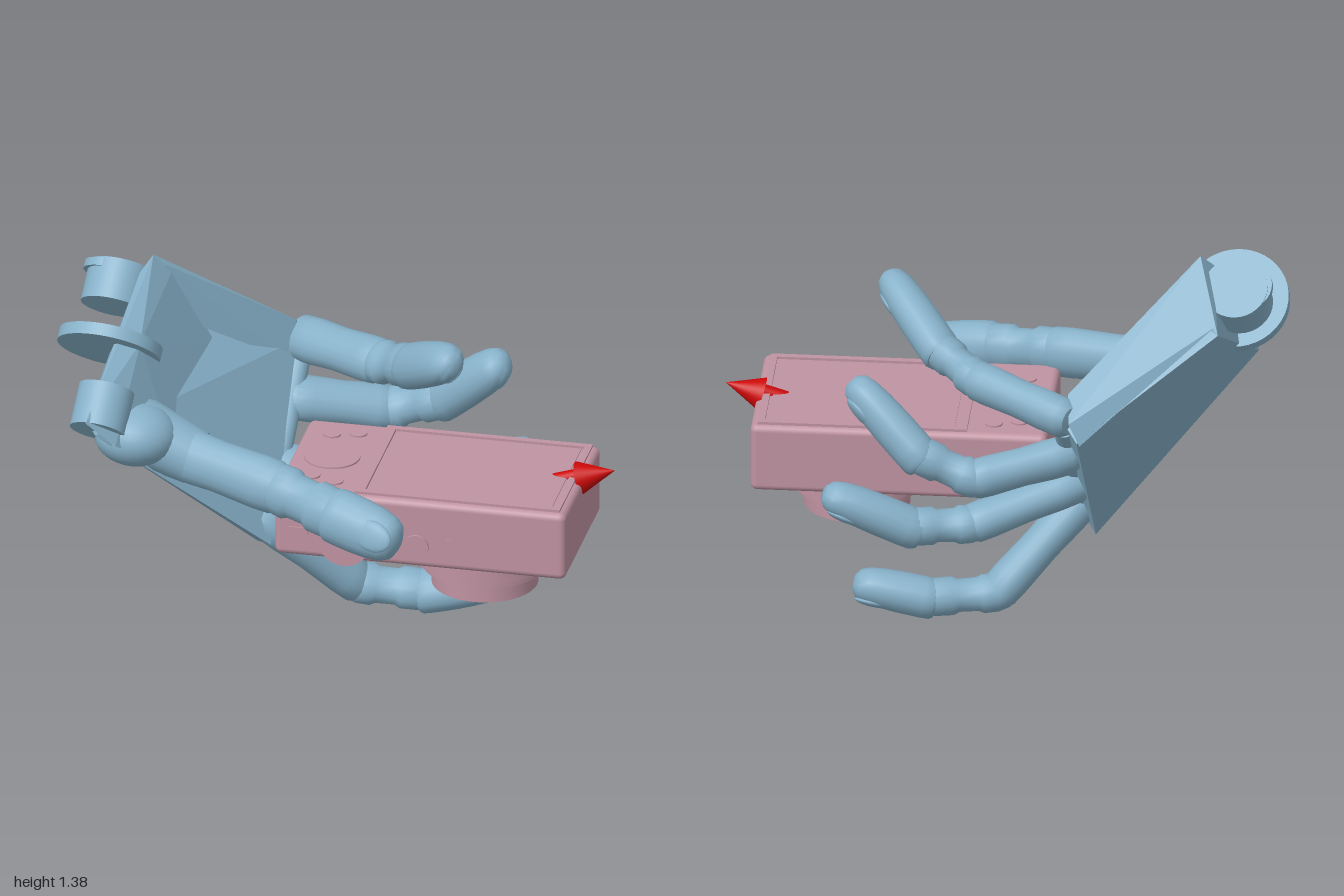
import * as THREE from 'three';
import { RoundedBoxGeometry } from 'three/addons/geometries/RoundedBoxGeometry.js';
import { ConvexGeometry } from 'three/addons/geometries/ConvexGeometry.js';
import { toCreasedNormals } from 'three/addons/utils/BufferGeometryUtils.js';

const V = (p) => new THREE.Vector3(...p);
const UP = new THREE.Vector3(0, 1, 0);
const handMat = new THREE.MeshStandardMaterial({ color: 0x87b1c9 });
const cameraMat = new THREE.MeshStandardMaterial({ color: 0xbf93a1 });
const arrowMat = new THREE.MeshStandardMaterial({ color: 0xcc0808 });

function add(parent, name, geometry, material, position = [0, 0, 0]) {
  const mesh = new THREE.Mesh(geometry, material);
  mesh.name = name;
  mesh.position.set(...position);
  parent.add(mesh);
  return mesh;
}

// Cylinder centred on a point, lying along an axis
function disc(parent, name, center, axis, radius, length, material, segments = 32, top = radius) {
  const mesh = add(parent, name, new THREE.CylinderGeometry(top, radius, length, segments), material, center);
  mesh.quaternion.setFromUnitVectors(UP, V(axis).normalize());
  return mesh;
}

// Turn a mesh so its y follows dir and its z faces the back of the finger
function orient(mesh, dir, dorsal) {
  const out = dorsal.clone().addScaledVector(dir, -dorsal.dot(dir)).normalize();
  mesh.quaternion.setFromRotationMatrix(new THREE.Matrix4().makeBasis(dir.clone().cross(out), dir, out));
  return out;
}

// One closed, slightly flattened finger segment: profile is [radius factor, fraction of length]
function segment(parent, name, from, to, radius, profile, dorsal) {
  const dir = to.clone().sub(from);
  const length = dir.length();
  const points = profile.map(([r, t]) => new THREE.Vector2(r * radius, t * length));
  const geometry = toCreasedNormals(new THREE.LatheGeometry(points, 18), 0.7);
  const mesh = add(parent, name, geometry, handMat, from.toArray());
  orient(mesh, dir.normalize(), dorsal);
  mesh.scale.set(1.07, 1, 0.9);
}

const PROXIMAL = [[0, -0.1], [0.7, -0.08], [0.98, 0], [1, 0.2], [0.94, 0.5], [1, 0.85], [0.98, 0.98], [0.7, 1.08], [0, 1.1]];
const MIDDLE = [[0, -0.2], [0.75, -0.17], [0.95, 0], [0.98, 0.2], [0.85, 0.28], [0.83, 0.55], [0.97, 0.63], [0.95, 1], [0.7, 1.12], [0, 1.15]];
const DISTAL = [[0, -0.14], [0.93, -0.13], [1.04, -0.08], [1.06, 0.05], [1.05, 0.35], [1, 0.62], [0.89, 0.82], [0.72, 0.93], [0.4, 0.99], [0, 1]];

function finger(parent, name, path, radius, dorsal) {
  const group = new THREE.Group();
  group.name = name;
  const p = path.map(V);
  const dir = p[3].clone().sub(p[2]).normalize();
  const back = dorsal ? V(dorsal) : p[1].clone().sub(p[0]).normalize().sub(dir);
  segment(group, 'proximalSegment', p[0], p[1], radius, PROXIMAL, back);
  segment(group, 'middleSegment', p[1], p[2], radius * 0.98, MIDDLE, back);
  segment(group, 'fingertip', p[2], p[3], radius * 0.97, DISTAL, back);
  // Nail plate on the back of the tip
  const nail = add(group, 'nail', new THREE.SphereGeometry(1, 16, 10), handMat);
  const out = orient(nail, dir, back);
  nail.position.copy(p[2]).lerp(p[3], 0.68).addScaledVector(out, radius * 0.7);
  nail.scale.set(radius * 0.6, radius * 0.85, radius * 0.2);
  parent.add(group);
}

function buildHand() {
  const hand = new THREE.Group();
  hand.name = 'hand';
  const hull = (name, pts) => add(hand, name, new ConvexGeometry(pts.map(V)), handMat);

  // Palm: plate, thick wrist block and bar on the index side
  hull('palmPlate', [
    [-0.78, 1.18, -0.34], [-0.30, 0.86, -0.60], [-0.33, 0.285, -0.15], [-0.88, 0.865, 0.2],
    [-0.68, 1.22, -0.27], [-0.24, 0.92, -0.53], [-0.25, 0.34, -0.01], [-0.79, 0.92, 0.43]]);
  hull('wristBlock', [
    [-0.70, 1.385, -0.12], [-0.78, 1.18, -0.34], [-0.88, 0.865, 0.2], [-0.82, 0.98, 0.46],
    [-0.74, 1.33, -0.08], [-0.72, 0.88, 0.42], [-0.64, 1.31, -0.16], [-0.55, 0.72, 0.18],
    [-0.50, 1.0, -0.24], [-0.69, 1.16, 0.14]]);
  hull('indexSideBar', [
    [-0.70, 1.385, -0.12], [-0.66, 1.34, -0.14], [-0.77, 1.21, -0.33], [-0.70, 1.2, -0.07],
    [-0.26, 1.0, -0.49], [-0.27, 0.93, -0.59], [-0.31, 0.85, -0.6], [-0.29, 0.88, -0.42]]);

  // Low thumb mound flowing into the thumb
  const mound = add(hand, 'thumbMound', new THREE.SphereGeometry(1, 24, 16), handMat, [-0.68, 0.86, 0.26]);
  mound.scale.set(0.15, 0.11, 0.14);
  disc(hand, 'thumbBase', [-0.58, 0.815, 0.215], [0.9, -0.35, 0.1], 0.12, 0.24, handMat, 24, 0.1);

  // Wrist hinge: large thin disc between two rounded lugs
  const axis = [-0.07, -0.74, 0.67];
  disc(hand, 'wristDisc', [-0.813, 1.115, 0.085], axis, 0.187, 0.045, handMat, 40);
  disc(hand, 'wristEndDisc', [-0.865, 1.29, -0.16], axis, 0.095, 0.03, handMat);
  disc(hand, 'wristLug', [-0.835, 1.24, -0.13], axis, 0.115, 0.15, handMat);
  disc(hand, 'wristLug', [-0.79, 0.97, 0.32], axis, 0.1, 0.16, handMat);

  // Four fingers, from the knuckles to the tips
  const fingers = {
    indexFinger: [[-0.25, 0.92, -0.52], [0.08, 0.955, -0.31], [0.23, 1.015, -0.18], [0.43, 1.17, 0.08]],
    middleFinger: [[-0.26, 0.73, -0.42], [0.07, 0.67, -0.53], [0.28, 0.75, -0.50], [0.52, 0.97, -0.38]],
    ringFinger: [[-0.27, 0.54, -0.26], [0.09, 0.435, -0.41], [0.31, 0.435, -0.45], [0.61, 0.58, -0.495]],
    littleFinger: [[-0.29, 0.41, -0.09], [0.01, 0.1, -0.27], [0.26, 0.082, -0.295], [0.52, 0.14, -0.31]],
  };
  for (const [name, path] of Object.entries(fingers)) finger(hand, name, path, 0.081);

  // Hinge rod joining the knuckles along the palm edge
  disc(hand, 'knuckleRod', [-0.265, 0.65, -0.32], [-0.04, -0.54, 0.45], 0.04, 0.6, handMat, 16);

  // Thumb
  finger(hand, 'thumb', [[-0.6, 0.795, 0.2], [-0.14, 0.75, 0.365], [0.1, 0.71, 0.465], [0.335, 0.665, 0.545]], 0.092, [0, 0.3, 1]);
  return hand;
}

function rectPath(Type, x0, x1, z0, z1) {
  const path = new Type();
  path.moveTo(x0, -z1).lineTo(x1, -z1).lineTo(x1, -z0).lineTo(x0, -z0).closePath();
  return path;
}

function buildCamera() {
  const camera = new THREE.Group();
  camera.name = 'compactCamera';
  add(camera, 'body', new RoundedBoxGeometry(1.056, 0.257, 0.597, 4, 0.025), cameraMat, [0.362, 0.5955, 0.02]);

  // Screen with a raised frame on the upper face
  const frame = rectPath(THREE.Shape, 0.12, 0.865, -0.26, 0.295);
  frame.holes.push(rectPath(THREE.Path, 0.155, 0.84, -0.235, 0.27));
  const frameGeo = new THREE.ExtrudeGeometry(frame, { depth: 0.013, bevelEnabled: false });
  add(camera, 'screenFrame', frameGeo.rotateX(-Math.PI / 2), cameraMat, [0, 0.72, 0]);
  add(camera, 'screen', new THREE.BoxGeometry(0.665, 0.01, 0.485), cameraMat, [0.4975, 0.723, 0.0175]);

  // Control pad and four small buttons
  disc(camera, 'controlPad', [-0.02, 0.723, 0.02], [0, 1, 0], 0.1, 0.014, cameraMat);
  for (const [x, z] of [[-0.06, -0.16], [0.03, -0.185], [-0.06, 0.185], [0.03, 0.215]])
    disc(camera, 'button', [x, 0.723, z], [0, 1, 0], 0.032, 0.014, cameraMat, 20);

  // Dial, button and slots on the long front side
  disc(camera, 'zoomDial', [0.09, 0.55, 0.322], [0, 0, 1], 0.095, 0.03, cameraMat);
  disc(camera, 'dialCap', [0.09, 0.55, 0.327], [0, 0, 1], 0.08, 0.036, cameraMat);
  disc(camera, 'powerButton', [0.35, 0.55, 0.318], [0, 0, 1], 0.045, 0.02, cameraMat, 24);
  add(camera, 'slot', new THREE.BoxGeometry(0.015, 0.035, 0.01), cameraMat, [0.467, 0.57, 0.318]);
  add(camera, 'switch', new THREE.BoxGeometry(0.07, 0.025, 0.01), cameraMat, [-0.08, 0.57, 0.318]);

  // Stepped lens barrel on the lower face, with a recessed window
  const profile = [[0, 0.33], [0.1, 0.33], [0.11, 0.302], [0.19, 0.302], [0.19, 0.37], [0.222, 0.37], [0.222, 0.402],
    [0.25, 0.402], [0.25, 0.455], [0.265, 0.455], [0.265, 0.48]];
  const lens = new THREE.LatheGeometry(profile.map(([r, y]) => new THREE.Vector2(r, y)), 48);
  add(camera, 'lensBarrel', toCreasedNormals(lens, 0.5), cameraMat, [0.535, 0, 0.025]);
  const cover = rectPath(THREE.Shape, -0.085, 0.085, -0.06, 0.06);
  cover.holes.push(rectPath(THREE.Path, -0.055, 0.055, -0.035, 0.035));
  const coverGeo = new THREE.ExtrudeGeometry(cover, { depth: 0.015, bevelEnabled: false });
  add(camera, 'lensWindow', coverGeo.rotateX(-Math.PI / 2), cameraMat, [0.535, 0.316, 0.025]);
  add(camera, 'flash', new THREE.BoxGeometry(0.13, 0.012, 0.06), cameraMat, [0.775, 0.465, 0.25]);
  return camera;
}

function buildArrow() {
  const arrow = new THREE.Group();
  arrow.name = 'arrow';
  const dir = [0.95, 0.3, -0.02];
  disc(arrow, 'arrowShaft', [0.8, 0.71, -0.003], dir, 0.025, 0.2, arrowMat, 20);
  disc(arrow, 'arrowHead', [0.935, 0.741, -0.008], dir, 0.06, 0.135, arrowMat, 28, 0);
  return arrow;
}

export function createModel() {
  const model = new THREE.Group();
  model.name = 'handHoldingCamera';
  model.add(buildHand(), buildCamera(), buildArrow());
  return model;
}
